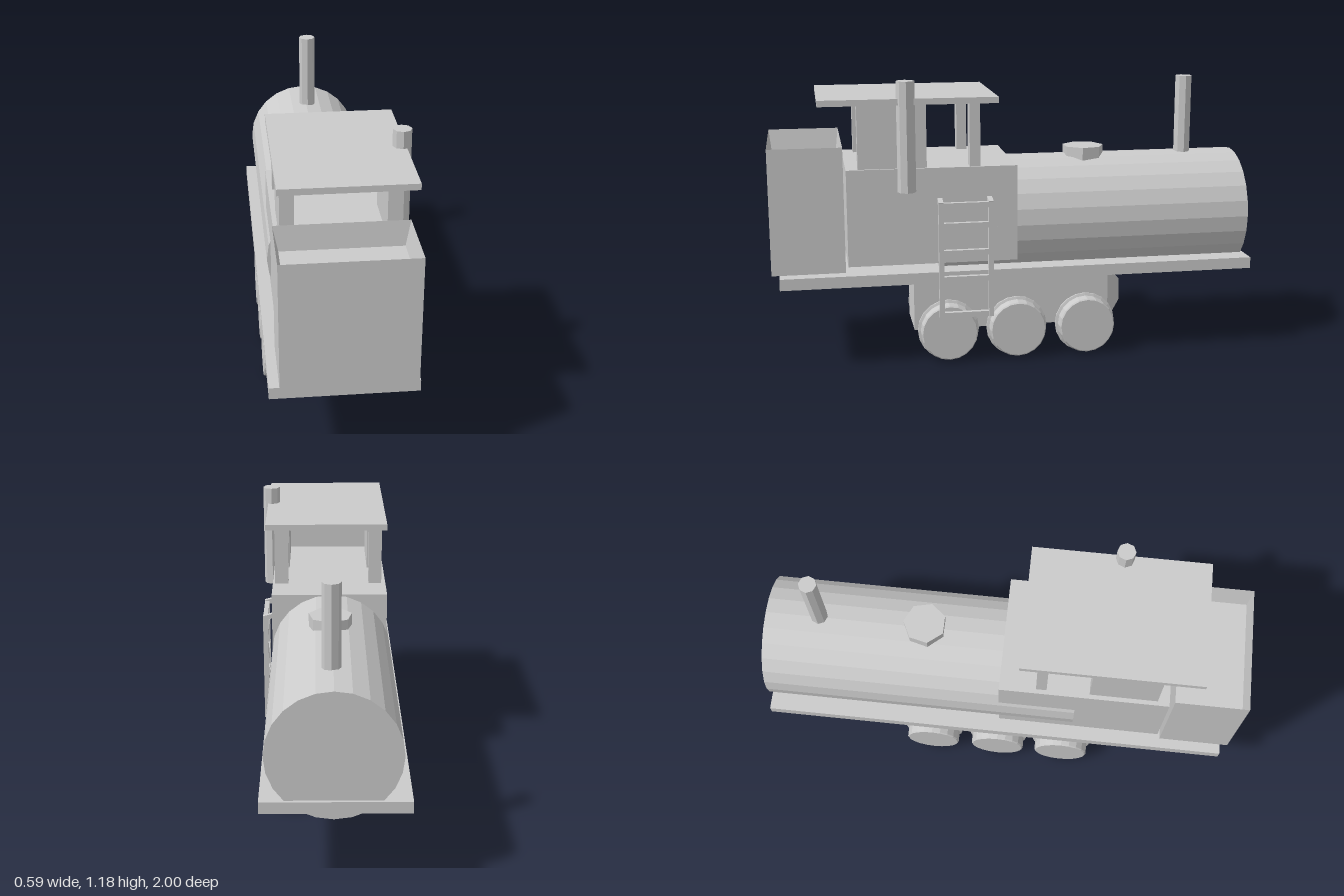
import * as THREE from 'three';

export function createModel() {
  const model = new THREE.Group();
  const mat = new THREE.MeshStandardMaterial({ color: 0xcccccc, flatShading: true });

  function add(name, geometry, parent = model) {
    const mesh = new THREE.Mesh(geometry, mat);
    mesh.name = name;
    parent.add(mesh);
    return mesh;
  }

  // Box given by its extents on each axis
  function box(name, [x0, x1], [y0, y1], [z0, z1], parent) {
    const mesh = add(name, new THREE.BoxGeometry(x1 - x0, y1 - y0, z1 - z0), parent);
    mesh.position.set((x0 + x1) / 2, (y0 + y1) / 2, (z0 + z1) / 2);
    return mesh;
  }

  // Upright prism standing between two heights
  function post(name, r, sides, x, z, y0, y1) {
    const mesh = add(name, new THREE.CylinderGeometry(r, r, y1 - y0, sides));
    mesh.position.set(x, (y0 + y1) / 2, z);
    return mesh;
  }

  // Solid turned about y from [radius, height] pairs, with flat facets
  function turned(profile, sides, phase = 0) {
    const points = profile.map(([r, y]) => new THREE.Vector2(r, y));
    const geometry = new THREE.LatheGeometry(points, sides, phase).toNonIndexed();
    geometry.computeVertexNormals();
    return geometry;
  }

  // Four-sided turned solid: radius 1 becomes a half-width of 1
  const squared = (profile) =>
    turned(profile.map(([s, y]) => [s * Math.SQRT2, y]), 4, Math.PI / 4);

  // Running board and boiler
  box('runningBoard', [-0.293, 0.265], [0.35, 0.397], [-1, 0.97]);
  const boiler = add('boiler', new THREE.CylinderGeometry(0.252, 0.252, 1.31, 24));
  boiler.rotation.x = Math.PI / 2;
  boiler.position.set(-0.007, 0.572, -0.333);

  // Chimney, dome and side pipe
  post('chimney', 0.036, 8, 0, -0.765, 0.79, 1.147);
  post('dome', 0.088, 7, 0, -0.324, 0.79, 0.858).rotation.y = Math.PI;
  post('sidePipe', 0.037, 8, 0.255, 0.455, 0.733, 1.177);

  // Cab body, roof and its supports
  box('cabBody', [-0.243, 0.245], [0.43, 0.825], [0.005, 0.695]);
  box('cabRoof', [-0.243, 0.27], [1.083, 1.108], [0.085, 0.8]);
  for (const [x0, x1] of [[-0.225, -0.17], [0.177, 0.235]]) {
    box('frontRoofPost', [x0, x1], [0.82, 1.085], [0.155, 0.198]);
    box('rearRoofPanel', [x0, x1], [0.82, 1.085], [0.372, 0.647]);
  }

  // Bunker with a shallow sloping recess in the top
  const bunker = add('bunker', squared([[0, 0.41], [1, 0.41], [1, 0.92], [0.92, 0.82], [0, 0.82]]));
  bunker.scale.set(0.255, 1, 0.147);
  bunker.position.z = 0.853;

  // Undercarriage block, tapered at the -z end
  const undercarriage = add('undercarriage', squared([[0, -0.42], [1, -0.42], [1, 0.42], [0.42, 0.488], [0, 0.488]]));
  undercarriage.rotation.x = -Math.PI / 2;
  undercarriage.scale.set(0.114, 1, 0.114);
  undercarriage.position.set(-0.016, 0.214, 0);

  // Three axles, each with a pair of flanged wheels
  const wheel = turned([[0, 0.21], [0.128, 0.21], [0.128, 0.217], [0.117, 0.221],
    [0.117, 0.265], [0.112, 0.27], [0, 0.27]], 20);
  for (const z of [0.288, 0, -0.294]) {
    const wheelSet = new THREE.Group();
    wheelSet.name = 'wheelSet';
    wheelSet.position.set(-0.015, 0.13, z);
    const axle = add('axle', new THREE.CylinderGeometry(0.017, 0.017, 0.43, 8), wheelSet);
    axle.rotation.z = Math.PI / 2;
    for (const side of [-1, 1])
      add('wheel', wheel, wheelSet).rotation.z = -side * Math.PI / 2;
    model.add(wheelSet);
  }

  // Ladder on the left side, hooked onto the cab
  const ladder = new THREE.Group();
  ladder.name = 'ladder';
  model.add(ladder);
  for (const z of [0.12, 0.323]) {
    box('ladderRail', [0.267, 0.289], [0.207, 0.688], [z - 0.01, z + 0.01], ladder);
    box('ladderHook', [0.225, 0.287], [0.678, 0.698], [z - 0.01, z + 0.01], ladder).rotation.z = -0.25;
  }
  for (const y of [0.218, 0.37, 0.48, 0.593, 0.676])
    box('ladderRung', [0.268, 0.288], [y - 0.011, y + 0.011], [0.12, 0.323], ladder);

  return model;
}
